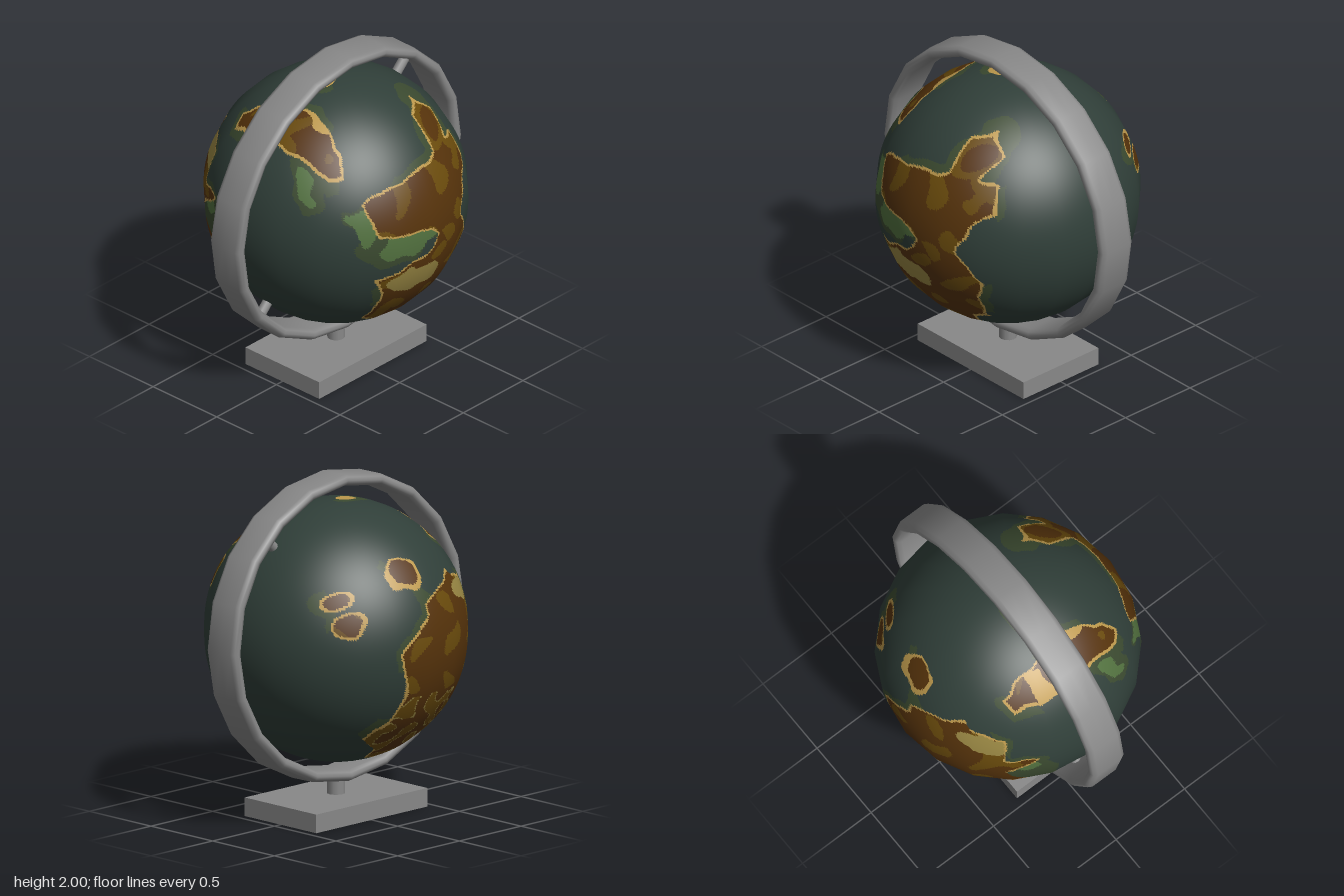
import * as THREE from 'three';

const R = 0.765;
const mat = (name, color) => Object.assign(new THREE.MeshStandardMaterial({ color }), { name });

// A map sheet seen from azimuth/elevation; its shapes are measured in hundredths of the globe radius
function sheet(az, el) {
  const a = THREE.MathUtils.degToRad(az), e = THREE.MathUtils.degToRad(el);
  const right = new THREE.Vector3(Math.cos(a), 0, -Math.sin(a));
  const dir = new THREE.Vector3(Math.sin(a) * Math.cos(e), Math.sin(e), Math.cos(a) * Math.cos(e));
  const up = dir.clone().cross(right);
  const place = shape => n => (n.dot(dir) > 0 ? shape(n.dot(right) * 100, n.dot(up) * 100) / 100 : -1);
  return {
    // Oval with centre and radii; returns the depth inside it
    oval: (cu, cv, ru, rv) => place((u, v) => (1 - Math.hypot((u - cu) / ru, (v - cv) / rv)) * Math.min(ru, rv)),
    // Outline polygon; returns the depth inside it
    outline: p => place((u, v) => {
      let inside = false, best = 900;
      for (let i = 0, j = p.length - 2; i < p.length; j = i, i += 2) {
        const ax = p[j], ay = p[j + 1], dx = p[i] - ax, dy = p[i + 1] - ay;
        if ((p[i + 1] > v) !== (ay > v) && u < ax + dx * (v - ay) / dy) inside = !inside;
        const t = THREE.MathUtils.clamp(((u - ax) * dx + (v - ay) * dy) / (dx * dx + dy * dy), 0, 1);
        best = Math.min(best, Math.hypot(u - ax - t * dx, v - ay - t * dy));
      }
      return inside ? best : -best;
    }),
  };
}
const front = sheet(0, 0), top = sheet(0, 90), side = sheet(90, 0), back = sheet(215, 25), under = sheet(140, -30);
const maxDepth = (shapes, n) => shapes.reduce((m, s) => Math.max(m, s(n)), -1);

const land = [
  // front continent
  front.outline([-53, 39, -44, 46, 22, 56, 21, 80, 36, 83, 51, 70, 46, 56, 58, 53, 63, 33, 53, 25, 41, -1,
    57, -26, 46, -66, 32, -70, 26, -84, 0, -94, -17, -84, -35, -73, -37, -48, -47, -26, -6, -14, 6, -1, 0, 6, -46, 12]),
  // back continent, upper and lower parts
  back.outline([-76, -30, -59, -28, -53, -1, -11, 8, 25, 0, 27, -24, 53, -22, 25, -45, 15, -110, -65, -95, -70, -50]),
  under.outline([64, 62, 110, 60, 108, -23, 45, -75, 17, -63, 29, -19, 49, 13, 41, 45]),
  // islands
  top.outline([-71, 24, -64, 44, -52, 48, -48, 17, -39, -18, -49, -50, -56, -60, -66, -54, -72, 5]),
  top.oval(-11, 0, 10, 7), top.oval(9, 80, 17, 8), side.oval(64, 43, 10, 7), side.oval(75, 25, 8, 10),
];
const sand = [front.oval(-12, -33, 29, 10), back.oval(8, -8, 18, 11)];
const beach = [top.oval(-60, 18, 12, 8), top.oval(-42, -22, 7, 12), top.oval(-11, 0, 10, 7)];
const hills = [front.oval(36, 70, 17, 16), front.oval(8, -80, 17, 7), front.oval(-24, -64, 6, 14),
  front.oval(50, 42, 7, 8), front.oval(8, -18, 9, 5), top.oval(-66, -4, 6, 14), top.oval(-56, -44, 6, 5)];
const soil = [front.oval(35, 68, 9, 8), top.oval(9, 80, 17, 8)];
const green = [front.oval(-20, 1, 25, 10), front.oval(-55, 24, 8, 13), back.oval(44, -34, 8, 7), top.oval(-76, -37, 5, 9)];
const shallows = [front.oval(-30, 2, 34, 15), front.oval(-53, 26, 11, 14), front.oval(36, 66, 20, 22),
  back.oval(40, -42, 22, 24), top.oval(-74, -40, 10, 16)];

const noise = (n, f) => Math.sin(f * n.x + 2 * Math.sin(f * 0.7 * n.y))
  + Math.sin(f * n.y + 1.7 * Math.sin(f * 0.8 * n.z + 1))
  + Math.sin(f * n.z + 2.1 * Math.sin(f * 0.6 * n.x + 2));

// Colour slot: 0 ocean, 1 shallows, 2 green, 3 soil, 4 hills, 5 coast, 6 sand
function paint(n) {
  const wobble = 0.006 * noise(n, 22);
  const within = shapes => maxDepth(shapes, n) + 2 * wobble > 0;
  const d = maxDepth(land, n) + wobble;
  if (d > 0) {
    if (d < 0.018) return 5;
    if (within(beach)) return 5;
    if (within(sand)) return 6;
    if (within(soil)) return 3;
    if (within(hills)) return 4;
    if (n.z < 0 && n.y < -0.35) { // southern highlands with pale ridges
      const h = noise(n, 26);
      if (Math.abs(h - 0.2) < 0.2) return 6;
      return h > 0 ? 4 : 3;
    }
    return noise(n, 17) > 1.15 ? 4 : 3;
  }
  if (within(green)) return 2;
  if (within(shallows)) return 1;
  return d > -0.045 && noise(n, 7) > 0.9 ? 1 : 0;
}

// Globe with twenty flat-sided gores, its faces sorted by colour
function globeGeometry() {
  const g = new THREE.SphereGeometry(R, 320, 200), pos = g.attributes.position, idx = g.index.array;
  const step = Math.PI / 10, n = new THREE.Vector3(), corner = new THREE.Vector3();
  const bins = Array.from({ length: 7 }, () => []);
  for (let i = 0; i < idx.length; i += 3) {
    const face = [idx[i], idx[i + 1], idx[i + 2]];
    n.set(0, 0, 0);
    face.forEach(q => n.add(corner.fromBufferAttribute(pos, q)));
    bins[paint(n.normalize())].push(...face);
  }
  for (let i = 0; i < pos.count; i++) {
    const x = pos.getX(i), z = pos.getZ(i), a = Math.atan2(z, x) + 2 * Math.PI;
    const k = Math.cos(step / 2) / Math.cos((a % step) - step / 2);
    pos.setX(i, x * k);
    pos.setZ(i, z * k);
  }
  let start = 0;
  bins.forEach((b, i) => { g.addGroup(start, b.length, i); start += b.length; });
  g.setIndex(bins.flat());
  return g;
}

export function createModel() {
  const group = new THREE.Group();
  const metal = mat('grey metal', 0x888888);
  const globeColors = [
    mat('ocean', 0x303f39), mat('shallow water', 0x3b4a30), mat('green lowland', 0x52713f),
    mat('brown soil', 0x56330b), mat('mustard hills', 0x6a4b0c), mat('pale coast', 0xbd994c),
    mat('sand', 0x998743),
  ];
  const add = (name, geometry, material, y) => {
    const m = new THREE.Mesh(geometry, material);
    m.name = name;
    m.position.y = y;
    group.add(m);
    return m;
  };

  add('globe', globeGeometry(), globeColors, 1.08);

  // Broad ring with rounded edges, slightly oval and tilted
  const half = [[0.035, 0], [0.035, 0.085], [0.022, 0.11], [0, 0.118], [-0.022, 0.11], [-0.035, 0.085], [-0.035, 0]];
  const profile = [...half.map(([r, z]) => [r, -z]).reverse(), ...half.slice(1)]
    .map(([r, z]) => new THREE.Vector2(0.908 + r, z));
  const ring = new THREE.LatheGeometry(profile, 20).rotateX(Math.PI / 2).scale(1, 0.957, 1);
  add('ring', ring, metal, 1.098).rotation.x = 0.02;

  // Axle through the globe
  const a = new THREE.Vector3(0.61, 1.747, 0), b = new THREE.Vector3(-0.655, 0.503, 0);
  const axle = add('axle', new THREE.CylinderGeometry(0.03, 0.03, a.distanceTo(b), 12), metal, 0);
  axle.position.copy(a).add(b).multiplyScalar(0.5);
  axle.quaternion.setFromUnitVectors(new THREE.Vector3(0, 1, 0), a.clone().sub(b).normalize());

  // Stand
  add('post', new THREE.CylinderGeometry(0.052, 0.052, 0.14, 12), metal, 0.17);
  add('base', new THREE.BoxGeometry(0.9, 0.11, 0.58), metal, 0.055);
  return group;
}
